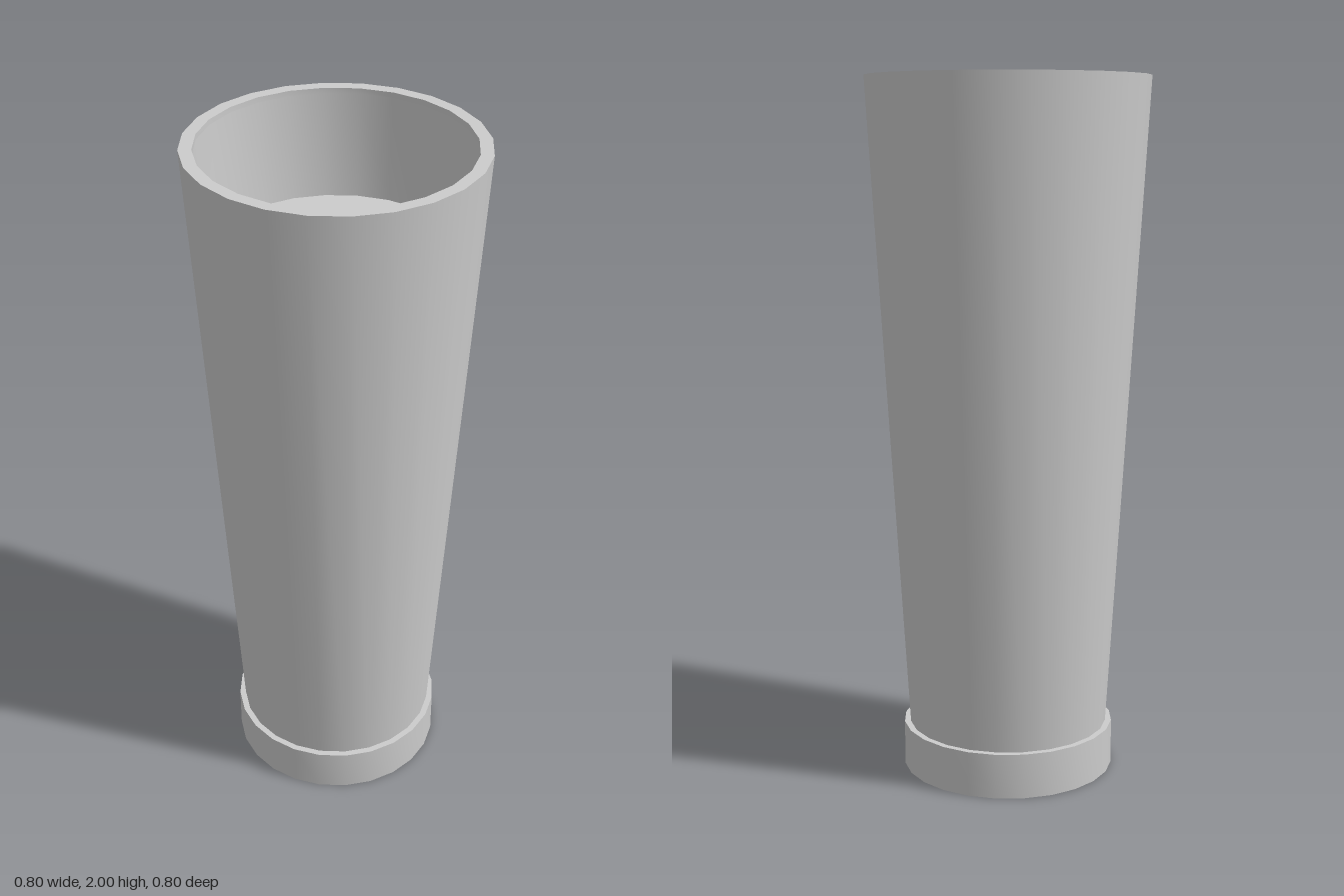
import * as THREE from 'three';
import { toCreasedNormals } from 'three/addons/utils/BufferGeometryUtils.js';

const SIDES = 24;

// Turns a profile of [radius, height] points, keeping its corners sharp
function turned(name, profile, material) {
  const points = profile.map(([r, y]) => new THREE.Vector2(r, y));
  const geometry = toCreasedNormals(new THREE.LatheGeometry(points, SIDES), 0.5);
  const mesh = new THREE.Mesh(geometry, material);
  mesh.name = name;
  return mesh;
}

export function createModel() {
  const model = new THREE.Group();
  model.name = 'taperedVase';
  const grey = new THREE.MeshStandardMaterial({ color: 0xcccccc });

  // Foot ring with a closed underside
  model.add(turned('base', [[0, 0], [0.308, 0], [0.308, 0.13], [0.285, 0.13]], grey));

  // Flared outer wall, flat rim and short inner lip
  model.add(turned('body', [[0.29, 0.13], [0.4, 2], [0.365, 2], [0.365, 1.985]], grey));

  // Shallow tapered recess with a tiny centre hole in its floor
  model.add(turned('recess', [
    [0.365, 1.985], [0.347, 1.69], [0.006, 1.69], [0.006, 1.68], [0, 1.68],
  ], grey));

  return model;
}
